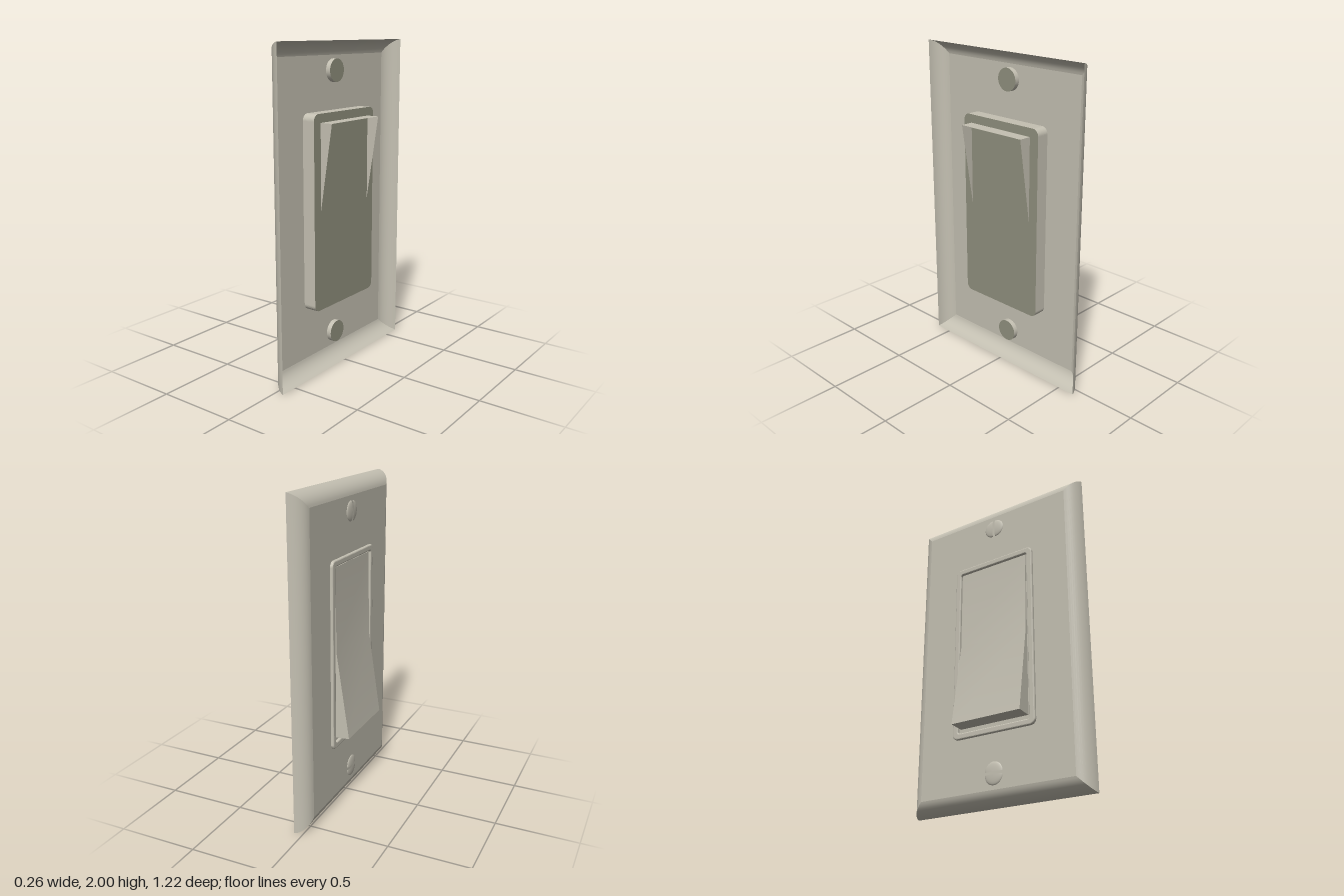
import * as THREE from 'three';

const ivory = new THREE.MeshStandardMaterial({ color: 0xc4c0b2, side: THREE.DoubleSide });
ivory.name = 'ivory plastic';
const olive = new THREE.MeshStandardMaterial({ color: 0x90907e });
olive.name = 'olive backing';

const HEIGHT = 2, WIDTH = 1.22, FACE = -0.04, BACK = 0.05, RIM = 0.085;

// Smooth sheet through rows of points
function sheet(rows) {
  const n = rows[0].length, pos = [], idx = [];
  rows.forEach((row) => row.forEach((p) => pos.push(...p)));
  for (let i = 0; i < rows.length - 1; i++) {
    for (let j = 0; j < n - 1; j++) {
      const a = i * n + j;
      idx.push(a, a + 1, a + n, a + 1, a + n + 1, a + n);
    }
  }
  const g = new THREE.BufferGeometry();
  g.setAttribute('position', new THREE.Float32BufferAttribute(pos, 3));
  g.setIndex(idx);
  g.computeVertexNormals();
  return g;
}

function add(parent, name, geometry, material = ivory) {
  const mesh = new THREE.Mesh(geometry, material);
  mesh.name = name;
  parent.add(mesh);
  return mesh;
}

function roundedRect(w, h, r, Type = THREE.Shape) {
  const s = new Type(), x = w / 2, y = h / 2;
  s.absarc(x - r, y - r, r, 0, Math.PI / 2);
  s.absarc(-x + r, y - r, r, Math.PI / 2, Math.PI);
  s.absarc(-x + r, -y + r, r, Math.PI, Math.PI * 1.5);
  s.absarc(x - r, -y + r, r, Math.PI * 1.5, Math.PI * 2);
  s.closePath();
  return s;
}

// Extrusion running from x = start towards the face (-x)
function extrudeToFace(shape, start, depth, bevel = 0) {
  const g = new THREE.ExtrudeGeometry(shape, {
    depth: depth - 2 * bevel, curveSegments: 6, bevelEnabled: bevel > 0,
    bevelSize: bevel, bevelThickness: bevel, bevelOffset: -bevel, bevelSegments: 3,
  });
  return g.translate(0, 0, bevel).rotateY(-Math.PI / 2).translate(start, 1, 0);
}

// Hollow wall plate: flat face and four curved, mitred rims
function makePlate() {
  const plate = new THREE.Group();
  plate.name = 'wallPlate';
  const corner = (inset, sy, sz, x) => [x, 1 + sy * (HEIGHT / 2 - inset), sz * (WIDTH / 2 - inset)];
  const corners = [[1, 1], [1, -1], [-1, -1], [-1, 1]];
  add(plate, 'plateFace', sheet([
    [corner(RIM, 1, -1, FACE), corner(RIM, 1, 1, FACE)],
    [corner(RIM, -1, -1, FACE), corner(RIM, -1, 1, FACE)],
  ]));
  corners.forEach((c, i) => {
    const d = corners[(i + 1) % 4], rows = [];
    for (let k = 0; k <= 10; k++) {
      const t = 0.15 + (k / 10) * (Math.PI / 2 - 0.35);
      const f = (k / 10);
      const a = (Math.sin(t) - Math.sin(0.15)) / (Math.sin(Math.PI / 2 - 0.2) - Math.sin(0.15));
      const b = (Math.cos(0.15) - Math.cos(t)) / (Math.cos(0.15) - Math.cos(Math.PI / 2 - 0.2));
      const inset = RIM * (1 - a), x = f === 1 ? BACK : FACE + (BACK - FACE) * b;
      rows.push([corner(inset, ...d, x), corner(inset, ...c, x)]);
    }
    add(plate, 'plateRim', sheet(rows));
  });
  return plate;
}

// Tilted rocker, open at the rear
function makeRocker() {
  const rocker = new THREE.Group();
  rocker.name = 'rocker';
  const w = 0.238;
  const profile = [[-0.135, 0.49], [-0.055, 1.02], [-0.046, 1.54], [0.13, 1.54], [0.05, 1.02], [-0.035, 0.482]];
  const row = (i) => [[...profile[i], w], [...profile[i], -w]];
  add(rocker, 'rockerFace', sheet([row(0), row(1), row(2)]));
  add(rocker, 'rockerTop', sheet([row(2), row(3)]));
  add(rocker, 'rockerBottom', sheet([row(5), row(0)]));
  const side = new THREE.Shape(profile.map((p) => new THREE.Vector2(...p)));
  for (const s of [-1, 1]) {
    const g = new THREE.ShapeGeometry(side);
    if (s < 0) g.rotateY(Math.PI).scale(-1, 1, 1).index.array.reverse();
    const mesh = add(rocker, 'rockerSide', g);
    mesh.position.z = s * w;
  }
  return rocker;
}

// Screw with a domed head split by a slot
function makeScrew(y, turn) {
  const screw = new THREE.Group();
  screw.name = 'screw';
  const r = 0.069, gap = 0.008, dome = [];
  for (let i = 0; i <= 6; i++) {
    const t = (i / 6) * Math.PI / 2;
    dome.push(new THREE.Vector2((r - gap) * Math.cos(t), 0.011 * Math.sin(t)));
  }
  const head = new THREE.Group();
  head.name = 'screwHead';
  for (const s of [0, 1]) {
    const g = new THREE.LatheGeometry(dome, 16, s * Math.PI - Math.PI / 2, Math.PI);
    g.translate(0, 0, s ? -gap : gap).rotateZ(Math.PI / 2);
    add(head, 'screwHeadHalf', g);
  }
  head.rotation.x = turn;
  head.position.x = FACE;
  screw.add(head);
  const shank = new THREE.CylinderGeometry(r, r, 0.03, 32).rotateZ(Math.PI / 2);
  add(screw, 'screwShank', shank, [ivory, olive, olive]).position.x = FACE + 0.0165;
  screw.position.y = y;
  return screw;
}

export function createModel() {
  const model = new THREE.Group();
  model.name = 'rockerSwitch';
  model.add(makePlate());

  // Switch body behind the plate, with a darker back
  add(model, 'switchBody', extrudeToFace(roundedRect(0.6, 1.185, 0.04), BACK, 0.08), [olive, ivory]);

  // Raised rounded lip around the rocker
  const lip = roundedRect(0.578, 1.165, 0.035);
  lip.holes.push(roundedRect(0.5, 1.09, 0.012, THREE.Path));
  add(model, 'frameLip', extrudeToFace(lip, -0.025, 0.032, 0.008));

  model.add(makeRocker());
  model.add(makeScrew(1.825, Math.PI / 2), makeScrew(0.18, 0));

  // Slot directions: upper level, lower upright
  model.getObjectsByProperty('name', 'screwHead').forEach((head, i) => {
    head.rotation.x = i === 0 ? 0 : Math.PI / 2;
  });

  // Centre the whole on x and z
  const box = new THREE.Box3().setFromObject(model);
  model.position.set(-(box.min.x + box.max.x) / 2, -box.min.y, -(box.min.z + box.max.z) / 2);
  return model;
}
